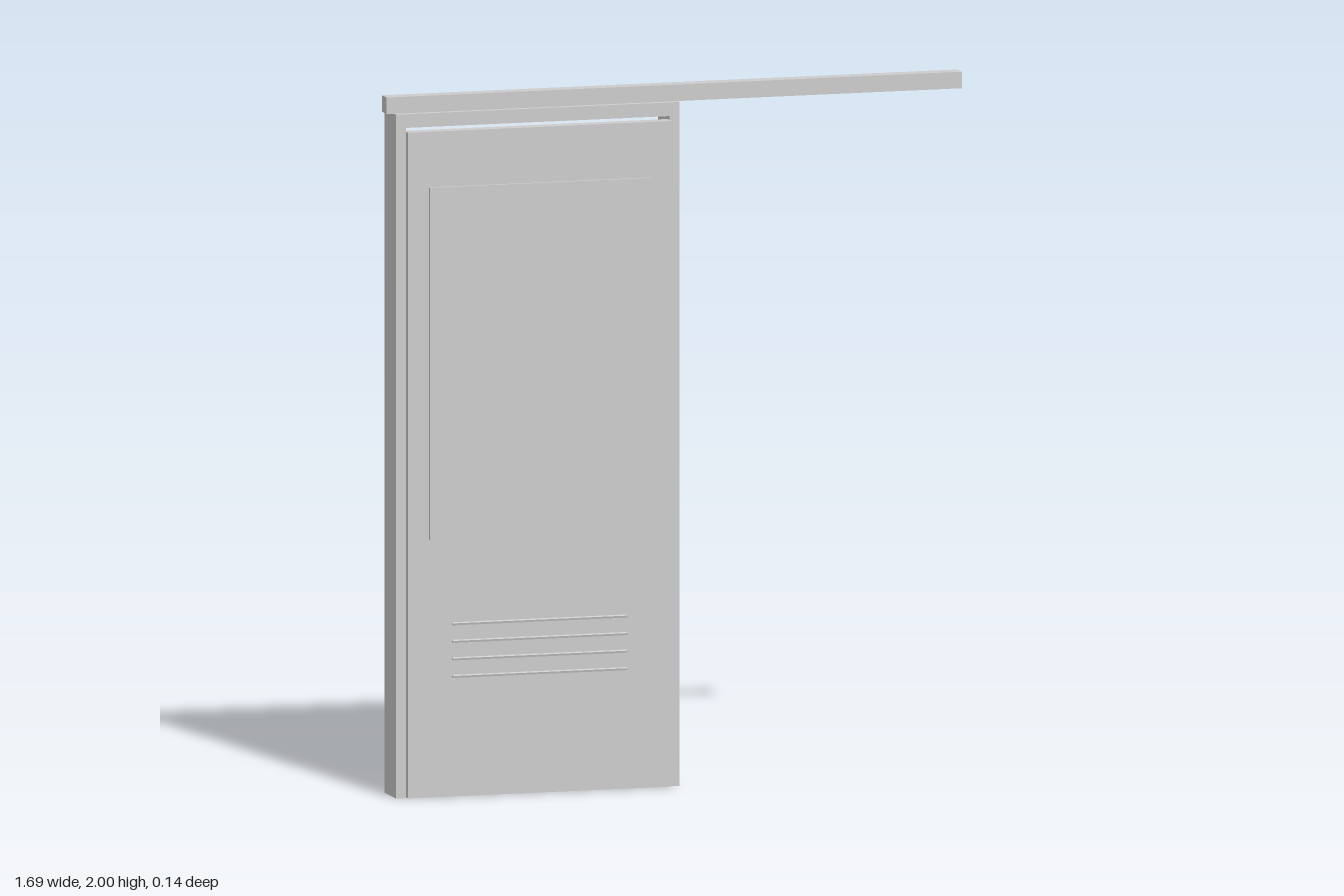
import * as THREE from 'three';

const material = new THREE.MeshStandardMaterial({ color: 0xcccccc, flatShading: true });

// Box given by its min and max along each axis
function block(name, [x0, x1], [y0, y1], [z0, z1]) {
  const mesh = new THREE.Mesh(new THREE.BoxGeometry(x1 - x0, y1 - y0, z1 - z0), material);
  mesh.position.set((x0 + x1) / 2, (y0 + y1) / 2, (z0 + z1) / 2);
  mesh.name = name;
  return mesh;
}

export function createModel() {
  const model = new THREE.Group();
  model.name = 'slidingDoor';

  // Door frame: two jambs and a lintel cut from one outline, open at the floor
  const outline = new THREE.Shape([
    [-0.818, 0], [-0.788, 0], [-0.788, 1.911], [-0.014, 1.911],
    [-0.014, 0], [0.016, 0], [0.016, 1.95], [-0.818, 1.95],
  ].map(([x, y]) => new THREE.Vector2(x, y)));
  const frame = new THREE.Mesh(
    new THREE.ExtrudeGeometry(outline, { depth: 0.112, bevelEnabled: false }), material);
  frame.position.z = -0.071;
  frame.name = 'doorFrame';
  model.add(frame);

  // Overhead sliding rail
  model.add(block('slidingRail', [-0.845, 0.845], [1.953, 2], [-0.004, 0.041]));

  // Door leaf with its raised upper panel
  model.add(block('doorLeaf', [-0.788, -0.014], [0.002, 1.9], [0.022, 0.061]));
  model.add(block('upperPanel', [-0.727, -0.075], [0.737, 1.742], [0.061, 0.071]));

  // Ventilation slats
  const slats = new THREE.Group();
  slats.name = 'ventSlats';
  for (let i = 0; i < 4; i++) {
    const y = 0.345 + i * 0.05;
    const slat = block('ventSlat', [-0.659, -0.145], [y - 0.003, y + 0.003], [0.058, 0.068]);
    slat.rotation.x = 0.3;
    slats.add(slat);
  }
  model.add(slats);

  return model;
}
